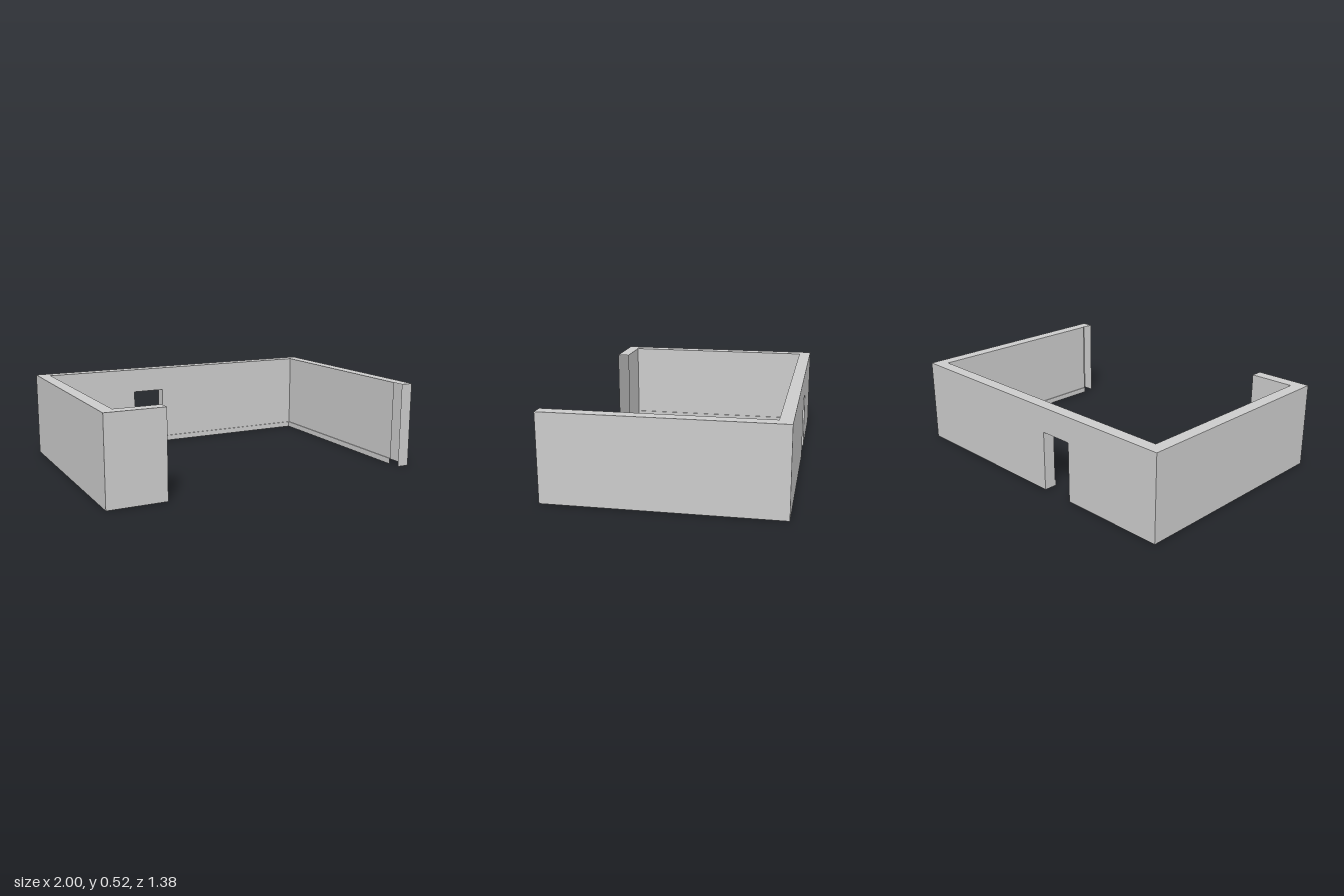
import * as THREE from 'three';

const H = 0.525, DOOR = 0.37, SK = 0.035;      // wall, door and skirting heights
const X = 1, Z = 0.69, T = 0.076, P = 0.006;   // plan size, thickness, skirting projection
const XI = X - T, ZI = Z - T;
const D0 = -0.34, D1 = -0.13, RET = -0.645;    // doorway sides, end of the short return

const material = new THREE.MeshStandardMaterial({
  color: 0xcccccc, flatShading: true, side: THREE.DoubleSide,
});

// Vertical sheet following a plan path of [x, z] points
function sheet(path, y0, y1) {
  const pos = [];
  for (let i = 0; i + 1 < path.length; i++) {
    const [ax, az] = path[i], [bx, bz] = path[i + 1];
    pos.push(ax, y0, az, bx, y0, bz, bx, y1, bz);
    pos.push(ax, y0, az, bx, y1, bz, ax, y1, az);
  }
  const g = new THREE.BufferGeometry();
  g.setAttribute('position', new THREE.Float32BufferAttribute(pos, 3));
  g.computeVertexNormals();
  return g;
}

// Horizontal sheet from a plan outline
function slab(outline, y, faceDown = false) {
  const s = faceDown ? 1 : -1;
  const shape = new THREE.Shape(outline.map(([x, z]) => new THREE.Vector2(x, s * z)));
  return new THREE.ShapeGeometry(shape).rotateX(s * Math.PI / 2).translate(0, y, 0);
}

export function createModel() {
  const model = new THREE.Group();
  const add = (name, geometry) => {
    const mesh = new THREE.Mesh(geometry, material);
    mesh.name = name;
    model.add(mesh);
  };

  // Outer faces, broken by the doorway
  add('outerWallLeft', sheet([[XI, Z], [X, Z], [X, -Z], [D1, -Z]], 0, H));
  add('outerWallRight', sheet([[D0, -Z], [-X, -Z], [-X, Z], [RET, Z]], 0, H));

  // Inner faces above the skirting
  const innerRight = [[-XI, ZI], [-XI, -ZI], [D0, -ZI]];
  const innerLeft = [[D1, -ZI], [XI, -ZI], [XI, ZI]];
  add('innerWallRight', sheet(innerRight, SK, H));
  add('innerWallLeft', sheet(innerLeft, SK, H));
  add('returnInnerWall', sheet([[RET, ZI], [-XI, ZI]], 0, H));

  // Skirting: front face and narrow top ledge
  const skirtRight = [[-XI + P, ZI], [-XI + P, -ZI + P], [D0, -ZI + P]];
  const skirtLeft = [[D1, -ZI + P], [XI - P, -ZI + P], [XI - P, ZI]];
  [['Right', skirtRight, innerRight], ['Left', skirtLeft, innerLeft]].forEach(([side, skirt, inner]) => {
    add('skirting' + side, sheet(skirt, 0, SK));
    add('skirtingLedge' + side, slab([...skirt, ...[...inner].reverse()], SK));
  });

  // Doorway: jambs, soffit and the wall above
  add('doorJambLeft', sheet([[D1, -Z], [D1, -ZI]], 0, DOOR));
  add('doorJambRight', sheet([[D0, -ZI], [D0, -Z]], 0, DOOR));
  add('skirtingEndLeft', sheet([[D1, -ZI], [D1, -ZI + P]], 0, SK));
  add('skirtingEndRight', sheet([[D0, -ZI + P], [D0, -ZI]], 0, SK));
  add('doorSoffit', slab([[D0, -Z], [D1, -Z], [D1, -ZI], [D0, -ZI]], DOOR, true));
  add('lintelOuter', sheet([[D1, -Z], [D0, -Z]], DOOR, H));
  add('lintelInner', sheet([[D0, -ZI], [D1, -ZI]], DOOR, H));

  // Wall top all the way round
  add('wallTop', slab([
    [RET, Z], [-X, Z], [-X, -Z], [X, -Z], [X, Z],
    [XI, Z], [XI, -ZI], [-XI, -ZI], [-XI, ZI], [RET, ZI],
  ], H));

  return model;
}
